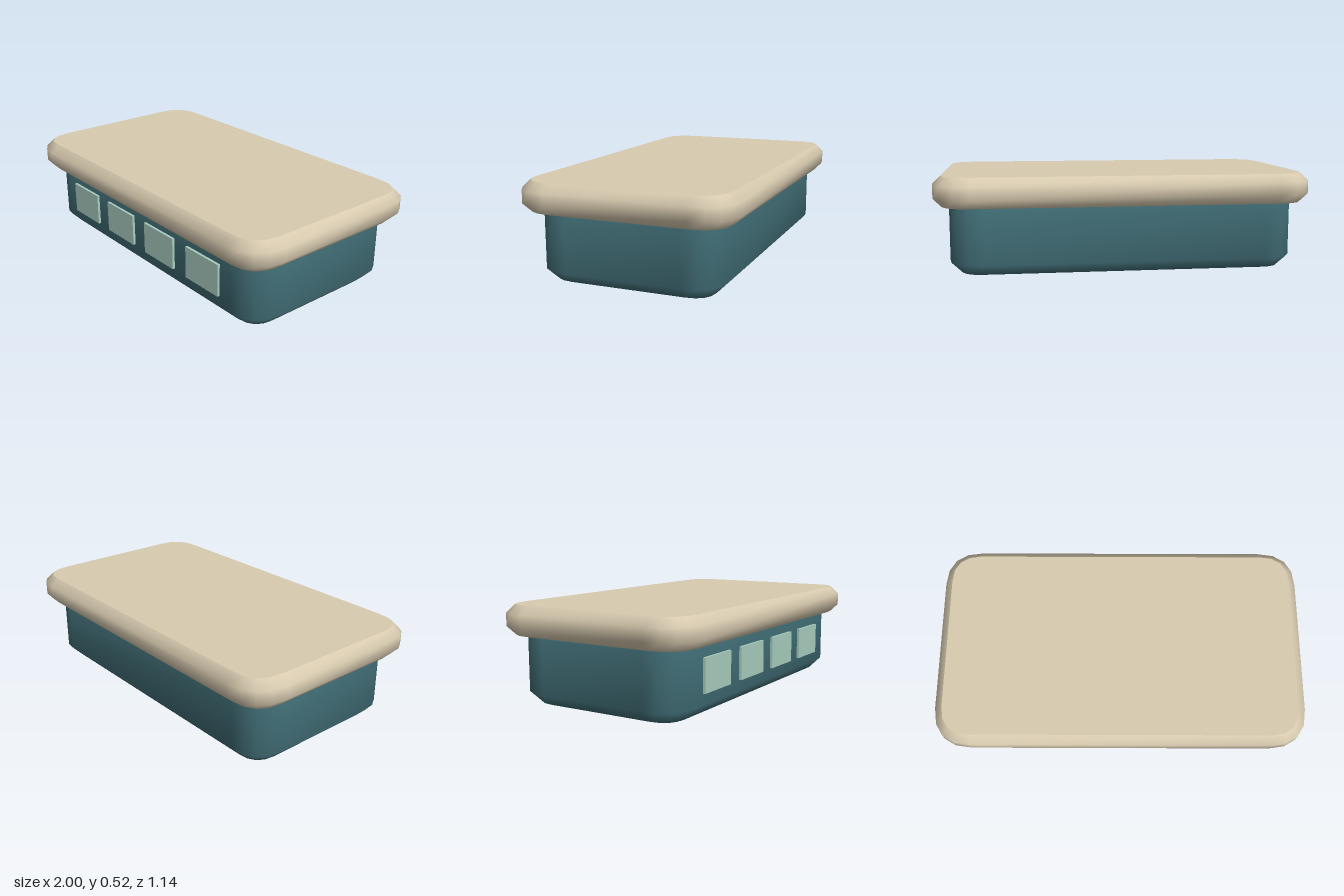
import * as THREE from 'three';

const teal = new THREE.MeshStandardMaterial({ color: 0x3f6b73 });
teal.name = 'teal';
const cream = new THREE.MeshStandardMaterial({ color: 0xd8cbb0 });
cream.name = 'cream';
const paleGreen = new THREE.MeshStandardMaterial({ color: 0xa9cdbf });
paleGreen.name = 'paleGreen';

// Rounded rectangle outline, anticlockwise seen from above
function outline(hw, hd, r) {
  const s = new THREE.Shape();
  s.moveTo(hw, hd - r);
  s.quadraticCurveTo(hw, hd, hw - r, hd);
  s.lineTo(-hw + r, hd);
  s.quadraticCurveTo(-hw, hd, -hw, hd - r);
  s.lineTo(-hw, -hd + r);
  s.quadraticCurveTo(-hw, -hd, -hw + r, -hd);
  s.lineTo(hw - r, -hd);
  s.quadraticCurveTo(hw, -hd, hw, -hd + r);
  return s.getPoints(4);
}

// Slab with chamfered rims: smooth sides, crisp flat caps
function chamferedSlab(hw, hd, r, y0, y1, bevel) {
  const levels = [[y0, bevel], [y0 + bevel, 0], [y1 - bevel, 0], [y1, bevel]];
  const positions = [], index = [];
  const addRing = ([y, inset]) => {
    const pts = outline(hw - inset, hd - inset, r - inset);
    const start = positions.length / 3;
    pts.forEach((p) => positions.push(p.x, y, -p.y));
    return { start, n: pts.length };
  };

  const rings = levels.map(addRing);
  for (let k = 0; k < rings.length - 1; k++) {
    const { start: lo, n } = rings[k], hi = rings[k + 1].start;
    for (let i = 0; i < n; i++) {
      const j = (i + 1) % n;
      index.push(lo + i, lo + j, hi + j, lo + i, hi + j, hi + i);
    }
  }

  // Caps have their own vertices so the rim edge stays sharp
  const bottom = addRing(levels[0]), top = addRing(levels[3]);
  for (let i = 1; i < top.n - 1; i++) {
    index.push(top.start, top.start + i, top.start + i + 1);
    index.push(bottom.start, bottom.start + i + 1, bottom.start + i);
  }

  const g = new THREE.BufferGeometry();
  g.setAttribute('position', new THREE.Float32BufferAttribute(positions, 3));
  g.setIndex(index);
  g.computeVertexNormals();
  return g;
}

export function createModel() {
  const model = new THREE.Group();
  model.name = 'lowBuilding';

  const add = (name, geometry, material) => {
    const mesh = new THREE.Mesh(geometry, material);
    mesh.name = name;
    model.add(mesh);
    return mesh;
  };

  // Main body, its top rim tucked inside the roof
  add('body', chamferedSlab(0.923, 0.486, 0.18, 0, 0.4, 0.06), teal);

  // Overhanging roof
  add('roof', chamferedSlab(1, 0.57, 0.2, 0.36, 0.518, 0.044), cream);

  // Row of windows along the front
  const pane = new THREE.BoxGeometry(0.254, 0.176, 0.024);
  for (let i = 0; i < 4; i++) {
    add('window' + (i + 1), pane, paleGreen).position.set((i - 1.5) * 0.364, 0.208, 0.488);
  }

  return model;
}
